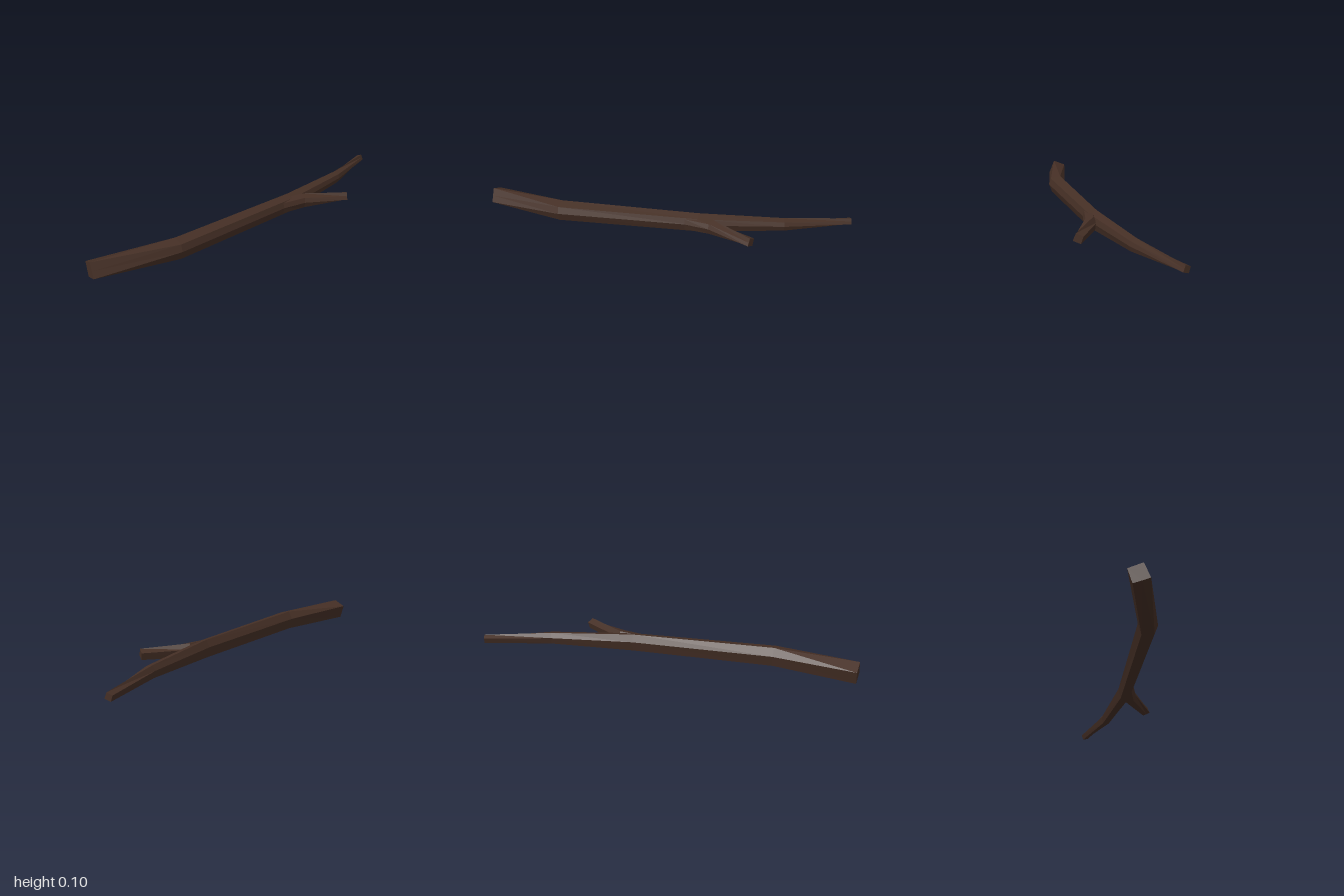
import * as THREE from 'three';

// Unit cross-sections (sideways, up), clockwise seen from the front
const CUT = [[-1, 0.46], [0.4, 1], [0.72, 0.2], [1, -0.5], [0.25, -0.75], [-0.55, -1]];
const KNOT = [[-1, 0.2], [-0.45, 1], [0.75, 0.72], [1, 0], [0.65, -0.9], [-0.65, -1]];

// Lofts a limb through rings: centre x, y, z, half width, half height, yaw, section
function limb(name, rings, material) {
  const pts = rings.map(({ at: [x, y, z], w, h, yaw, cut }) =>
    cut.map(([u, v]) => [x + u * w * Math.cos(yaw), y + v * h, z + u * w * Math.sin(yaw)]));
  const pos = [];
  const tri = (a, b, c) => pos.push(...a, ...b, ...c);
  const n = CUT.length;
  for (let i = 0; i < pts.length - 1; i++) {
    for (let k = 0; k < n; k++) {
      const j = (k + 1) % n;
      tri(pts[i][k], pts[i][j], pts[i + 1][j]);
      tri(pts[i][k], pts[i + 1][j], pts[i + 1][k]);
    }
  }
  // Sawn ends
  const first = pts[0], last = pts[pts.length - 1];
  for (let k = 1; k < n - 1; k++) {
    tri(first[0], first[k + 1], first[k]);
    tri(last[0], last[k], last[k + 1]);
  }
  const geo = new THREE.BufferGeometry();
  geo.setAttribute('position', new THREE.Float32BufferAttribute(pos, 3));
  geo.computeVertexNormals();
  const mesh = new THREE.Mesh(geo, material);
  mesh.name = name;
  return mesh;
}

export function createModel() {
  const bark = new THREE.MeshStandardMaterial({ color: 0x452f25, flatShading: true });
  bark.name = 'dark bark';

  const group = new THREE.Group();
  group.name = 'forkedStick';

  // Long bent main limb, thick at the front and thin at the back
  group.add(limb('mainLimb', [
    { at: [-0.178, 0.0525, 0.978], w: 0.049, h: 0.05, yaw: 0.26, cut: CUT },
    { at: [-0.041, 0.05, 0.565], w: 0.047, h: 0.05, yaw: 0.2, cut: KNOT },
    { at: [0.01, 0.05, -0.19], w: 0.037, h: 0.046, yaw: 0.0, cut: KNOT },
    { at: [-0.015, 0.053, -0.64], w: 0.028, h: 0.031, yaw: -0.12, cut: KNOT },
    { at: [-0.092, 0.054, -0.995], w: 0.02, h: 0.02, yaw: -0.22, cut: CUT },
  ], bark));

  // Short side branch
  group.add(limb('sideBranch', [
    { at: [0.012, 0.05, -0.12], w: 0.03, h: 0.038, yaw: 0.2, cut: KNOT },
    { at: [0.054, 0.052, -0.262], w: 0.034, h: 0.036, yaw: 0.5, cut: KNOT },
    { at: [0.195, 0.054, -0.47], w: 0.026, h: 0.026, yaw: 0.62, cut: CUT },
  ], bark));

  return group;
}
